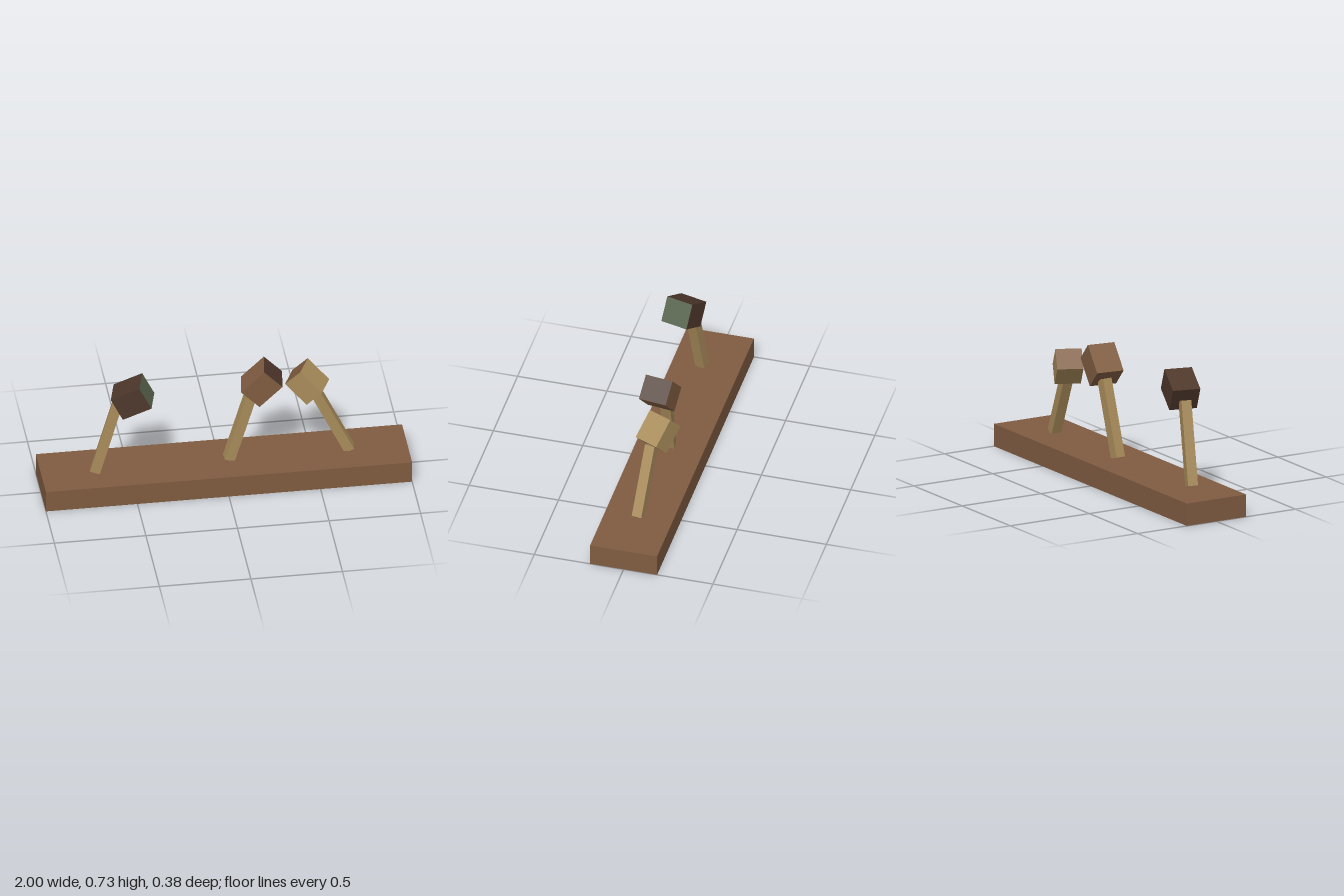
import * as THREE from 'three';

const make = (name, color, side = THREE.FrontSide) => {
  const m = new THREE.MeshStandardMaterial({ color, side });
  m.name = name;
  return m;
};
const rad = THREE.MathUtils.degToRad;

export function createModel() {
  const brown = make('brown wood', 0x805c41, THREE.DoubleSide);
  const tan = make('tan wood', 0xa88b5a);
  const dark = make('dark wood', 0x4e372b);
  const green = make('grey green', 0x58644e);

  const model = new THREE.Group();
  model.name = 'malletRack';

  // Base: a shallow tray turned upside down, open underneath
  const baseGeo = new THREE.BoxGeometry(2, 0.125, 0.375);
  const index = Array.from(baseGeo.index.array);
  index.splice(18, 6); // drop the underside
  baseGeo.setIndex(index);
  baseGeo.clearGroups();
  const base = new THREE.Mesh(baseGeo, brown);
  base.name = 'base';
  base.position.y = 0.0625;
  model.add(base);

  // Mallets: leaning handle (lean > 0 tips towards +x) and a tilted head with one painted end
  const mallets = [
    { name: 'rightMallet', foot: [-0.706, 0.13, 0.022], length: 0.463, lean: 15.2, handleYaw: 14,
      head: [-0.51, 0.6225, 0.072], size: [0.176, 0.14, 0.155], pitch: 28, yaw: 14,
      body: dark, end: green, endFace: 0 },
    { name: 'middleMallet', foot: [0.026, 0.128, 0.003], length: 0.432, lean: 17, handleYaw: -4,
      head: [0.204, 0.6085, 0.011], size: [0.179, 0.137, 0.156], pitch: 46, yaw: 7.5,
      body: brown, end: dark, endFace: 0 },
    { name: 'leftMallet', foot: [0.685, 0.127, 0.003], length: 0.402, lean: -26.4, handleYaw: 8.5,
      head: [0.461, 0.5475, -0.047], size: [0.166, 0.126, 0.143], pitch: -43, yaw: 24.5,
      body: tan, end: brown, endFace: 1 },
  ];

  for (const m of mallets) {
    const mallet = new THREE.Group();
    mallet.name = m.name;

    const handleGeo = new THREE.BoxGeometry(0.056, m.length, 0.056);
    handleGeo.translate(0, m.length / 2, 0);
    const handle = new THREE.Mesh(handleGeo, tan);
    handle.name = 'handle';
    handle.position.set(...m.foot);
    handle.rotation.set(0, rad(-m.handleYaw), rad(-m.lean), 'YXZ');

    const faces = Array(6).fill(m.body);
    faces[m.endFace] = m.end;
    const head = new THREE.Mesh(new THREE.BoxGeometry(...m.size), faces);
    head.name = 'head';
    head.position.set(...m.head);
    head.rotation.set(0, rad(-m.yaw), rad(m.pitch), 'YXZ');

    mallet.add(handle, head);
    model.add(mallet);
  }
  return model;
}
